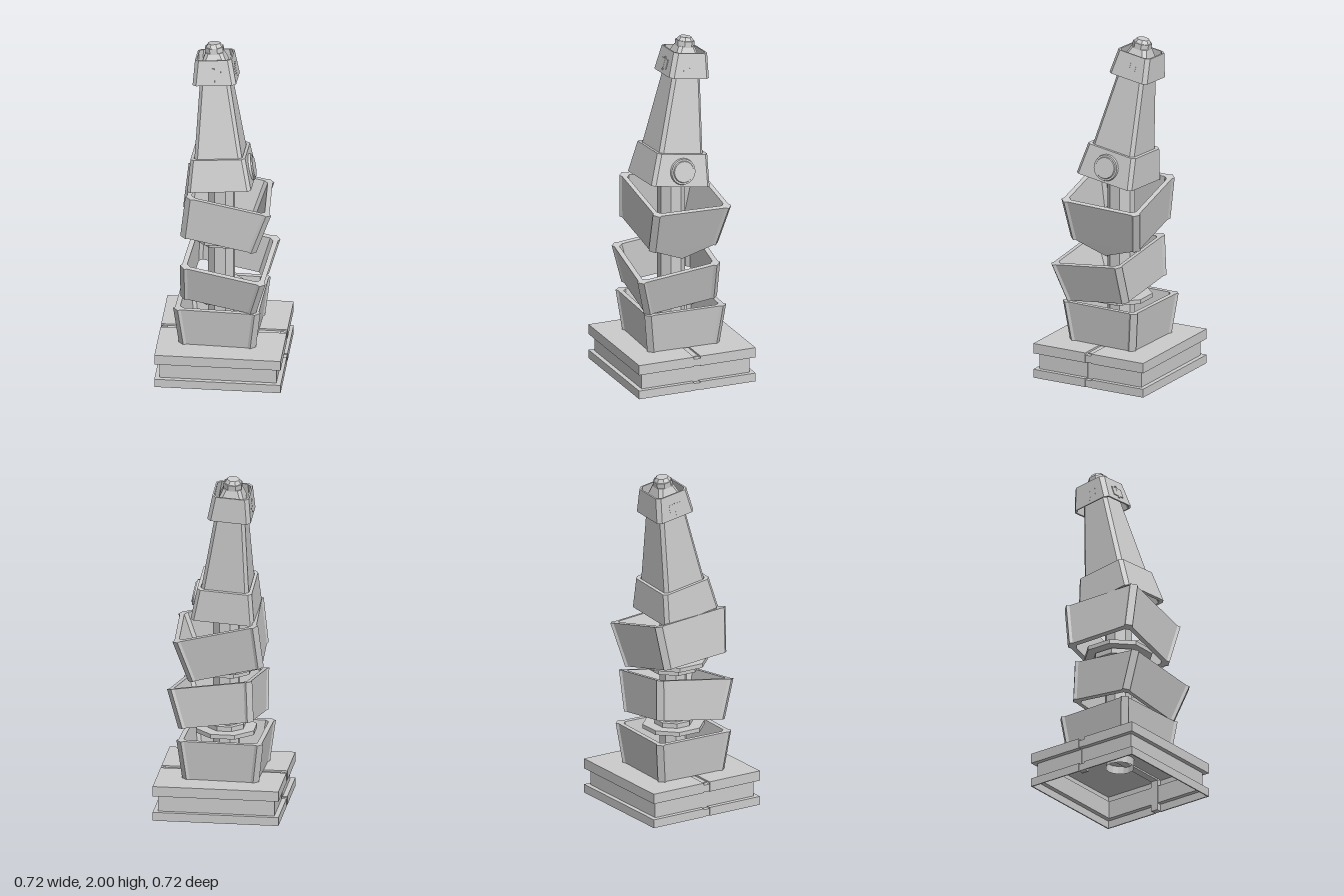
import * as THREE from 'three';

const mat = new THREE.MeshStandardMaterial({ color: 0xcccccc, flatShading: true, side: THREE.DoubleSide });

function add(parent, name, geo, x = 0, y = 0, z = 0) {
  const mesh = new THREE.Mesh(geo, mat);
  mesh.name = name;
  mesh.position.set(x, y, z);
  parent.add(mesh);
  return mesh;
}

// Square ring with chamfered corners; "bump" makes corner posts that stand proud.
function ring(h, y, c, bump = 0) {
  const corner = bump
    ? [[h, h - c * 1.8], [h + bump, h - c], [h - c, h + bump], [h - c * 1.8, h]]
    : [[h, h - c], [h - c, h]];
  const pts = [];
  for (let k = 0; k < 4; k++) {
    for (const [u, v] of corner) {
      const [a, b] = [[u, v], [-v, u], [-u, -v], [v, -u]][k];
      pts.push([a, y, -b]);
    }
  }
  return pts;
}

// Skin a list of rings with flat quads.
function loft(rings) {
  const pos = [];
  for (let r = 0; r < rings.length - 1; r++) {
    const lo = rings[r], hi = rings[r + 1], n = lo.length;
    for (let i = 0; i < n; i++) {
      const j = (i + 1) % n;
      pos.push(...lo[i], ...lo[j], ...hi[j], ...lo[i], ...hi[j], ...hi[i]);
    }
  }
  const geo = new THREE.BufferGeometry();
  geo.setAttribute('position', new THREE.Float32BufferAttribute(pos, 3));
  geo.computeVertexNormals();
  return geo;
}

// Open square sleeve with wall thickness t.
function sleeve(h0, h1, height, t, c, bump = 0) {
  const innerBump = 0.0001 * Math.sign(bump); // keeps the corner count equal
  return loft([
    ring(h0, 0, c, bump), ring(h1, height, c, bump),
    ring(h1 - t, height, c, innerBump), ring(h0 - t, 0, c, innerBump),
    ring(h0, 0, c, bump),
  ]);
}

// Regular octagonal drum with flats facing the axes.
const octagon = (r0, r1, h) => new THREE.CylinderGeometry(r1, r0, h, 8).rotateY(Math.PI / 8);

// Half of a square frame, leaving a gap along the x axis.
function halfFrame(o, i, gap, depth) {
  const s = new THREE.Shape([
    [-o, gap], [-i, gap], [-i, i], [i, i], [i, gap], [o, gap], [o, o], [-o, o],
  ].map(([x, y]) => new THREE.Vector2(x, y)));
  return new THREE.ExtrudeGeometry(s, { depth, bevelEnabled: false }).rotateX(-Math.PI / 2);
}

// Hollow plinth: thin stepped shell, open underneath.
function buildBase() {
  const base = new THREE.Group();
  base.name = 'base';
  const gap = 0.02;
  // name, outer half width, inner half width, bottom, height
  const frames = [
    ['lowerFlange', 0.362, 0.355, 0, 0.05],
    ['lowerLedge', 0.358, 0.328, 0.045, 0.005],
    ['baseWall', 0.335, 0.328, 0.048, 0.1],
    ['upperLedge', 0.358, 0.328, 0.146, 0.005],
    ['upperFlange', 0.362, 0.355, 0.146, 0.055],
  ];
  for (const side of [1, -1]) {
    const turn = side > 0 ? 0 : Math.PI;
    for (const [name, o, i, y, h] of frames) add(base, name, halfFrame(o, i, gap, h), 0, y).rotation.y = turn;
    add(base, 'topPlate', new THREE.BoxGeometry(0.724, 0.01, 0.362 - gap), 0, 0.2, side * (0.181 + gap / 2));
    // clasp filling the groove, set slightly back from the flanges
    add(base, 'claspWall', new THREE.BoxGeometry(0.01, 0.19, 0.044), side * 0.327, 0.095, 0);
    add(base, 'claspFoot', new THREE.BoxGeometry(0.03, 0.042, 0.04), side * 0.345, 0.022, 0);
    add(base, 'claspHead', new THREE.BoxGeometry(0.03, 0.042, 0.04), side * 0.345, 0.17, 0);
  }
  add(base, 'grooveFloor', new THREE.BoxGeometry(0.65, 0.01, 0.044), 0, 0.19, 0);
  add(base, 'undersideRing', new THREE.CylinderGeometry(0.082, 0.082, 0.05, 16, 1, true), 0, 0.172, 0);
  return base;
}

function buildCore() {
  const core = new THREE.Group();
  core.name = 'core';
  core.position.x = -0.015;
  add(core, 'column', octagon(0.08, 0.08, 1.05), 0, 0.725, 0);
  // stacked collars between the sleeves: height, radius, thickness
  for (const [y, r, t] of [[0.455, 0.18, 0.025], [0.48, 0.11, 0.03], [0.815, 0.15, 0.03], [0.85, 0.2, 0.025], [1.175, 0.11, 0.03]]) {
    add(core, 'collar', octagon(r, r, t), 0, y, 0);
  }
  return core;
}

function buildSpire() {
  const spire = new THREE.Group();
  spire.name = 'spire';
  spire.position.set(-0.01, 1.165, 0.016);
  spire.rotation.set(-0.155, 0, 0.07);
  add(spire, 'skirt', sleeve(0.183, 0.157, 0.185, 0.018, 0.02));
  add(spire, 'shaft', loft([
    ring(0, 0.08, 0), ring(0.148, 0.08, 0.02), ring(0.074, 0.73, 0.018), ring(0.05, 0.79, 0.018), ring(0, 0.79, 0),
  ]));
  add(spire, 'cap', sleeve(0.125, 0.105, 0.145, 0.009, 0.022), 0, 0.622, -0.003);
  for (let k = 0; k < 4; k++) {
    const holder = new THREE.Group();
    holder.name = 'capPanel';
    holder.rotation.y = k * Math.PI / 2;
    spire.add(holder);
    add(holder, 'panel', new THREE.BoxGeometry(0.085, 0.055, 0.006), 0, 0.682, 0.1145).rotation.x = -0.137;
    add(holder, 'panelStrip', new THREE.BoxGeometry(0.012, 0.08, 0.007), 0, 0.682, 0.1145).rotation.x = -0.137;
  }
  add(spire, 'tipBase', octagon(0.056, 0.056, 0.035), 0, 0.802, 0);
  add(spire, 'tip', octagon(0.05, 0.036, 0.02), 0, 0.83, 0);

  // round button on the left side
  const button = new THREE.Group();
  button.name = 'button';
  button.position.set(0.167, 0.086, 0);
  button.rotation.z = -Math.PI / 2 + 0.13;
  spire.add(button);
  add(button, 'buttonRim', new THREE.CylinderGeometry(0.074, 0.08, 0.024, 24), 0, 0.005, 0);
  add(button, 'buttonFace', new THREE.CylinderGeometry(0.06, 0.064, 0.008, 24), 0, 0.02, 0);
  return spire;
}

export function createModel() {
  const model = new THREE.Group();
  model.name = 'brokenTower';
  model.add(buildBase(), buildCore(), buildSpire());

  // flared sleeves: position of the bottom centre, tilt, height
  const sleeves = [
    ['lowerSleeve', [-0.012, 0.203, 0.002], [0, -0.03, 0], 0.237],
    ['middleSleeve', [0.006, 0.5, 0.02], [0.14, -0.09, -0.15], 0.236],
    ['upperSleeve', [-0.024, 0.85, 0.01], [-0.05, 0.06, -0.22], 0.262],
  ];
  for (const [name, p, r, h] of sleeves) {
    const mesh = add(model, name, sleeve(0.212, 0.241, h, 0.028, 0.02, 0.01), ...p);
    mesh.rotation.set(...r);
    // broken point hanging from the upper sleeve
    if (name === 'upperSleeve') {
      const shard = new THREE.BufferGeometry();
      shard.setAttribute('position', new THREE.Float32BufferAttribute([0.212, 0, 0.19, 0.203, -0.075, 0, 0.212, 0, -0.19], 3));
      shard.computeVertexNormals();
      add(mesh, 'shard', shard);
    }
  }
  return model;
}
